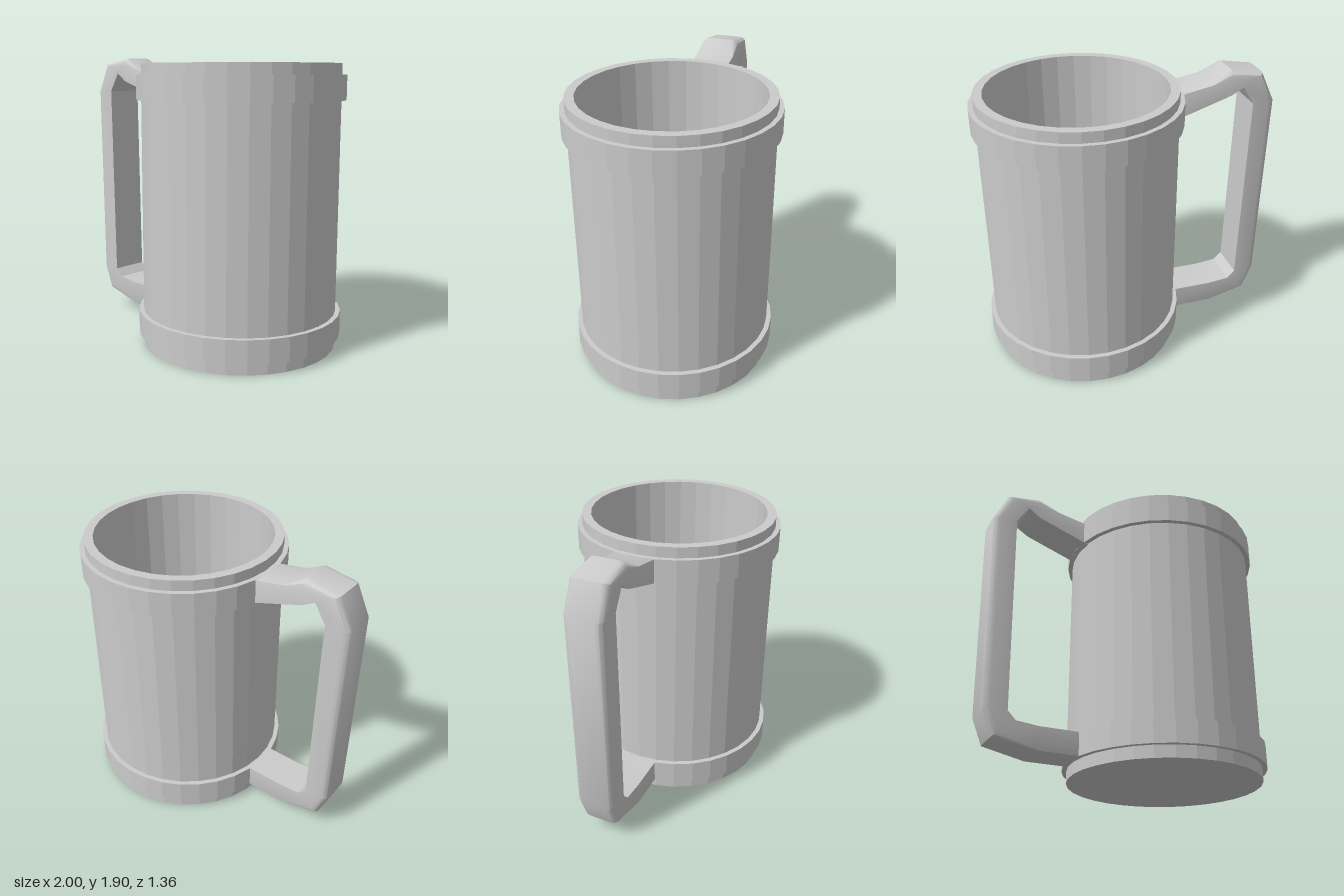
import * as THREE from 'three';
import { toCreasedNormals } from 'three/addons/utils/BufferGeometryUtils.js';

const SIDES = 32, CENTRE_X = 0.32;
const flat = new THREE.MeshStandardMaterial({ color: 0xcccccc, flatShading: true });
const smooth = new THREE.MeshStandardMaterial({ color: 0xcccccc });

// Turned part from [radius, height] pairs
function turned(name, profile) {
  const points = profile.map(([r, y]) => new THREE.Vector2(r, y));
  const mesh = new THREE.Mesh(new THREE.LatheGeometry(points, SIDES), flat);
  mesh.name = name;
  mesh.position.x = CENTRE_X;
  return mesh;
}

// Hoop around the body
const band = (name, y0, y1) =>
  turned(name, [[0.63, y0], [0.68, y0], [0.68, y1], [0.63, y1]]);

// Handle cross-section: square inner edge, outer corners rounded by b
function section([ox, oy, ix, iy, b]) {
  const w = 0.13, steps = 3;
  const outer = new THREE.Vector3(ox, oy, 0);
  const inward = new THREE.Vector3(ix - ox, iy - oy, 0).normalize();
  const corner = [];
  for (let k = 0; k <= steps; k++) {
    const a = (k / steps) * Math.PI / 2;
    const p = outer.clone().addScaledVector(inward, b * (1 - Math.sin(a)));
    p.z = w - b + b * Math.cos(a);
    corner.push(p);
  }
  const mirrored = corner.map(p => new THREE.Vector3(p.x, p.y, -p.z)).reverse();
  return [new THREE.Vector3(ix, iy, -w), new THREE.Vector3(ix, iy, w), ...corner, ...mirrored];
}

function loft(sections) {
  const n = sections[0].length, index = [];
  for (let i = 0; i < sections.length - 1; i++) {
    for (let k = 0; k < n; k++) {
      const a = i * n + k, b = i * n + (k + 1) % n;
      index.push(a, b, a + n, b, b + n, a + n);
    }
  }
  const geometry = new THREE.BufferGeometry().setFromPoints(sections.flat());
  geometry.setIndex(index);
  return toCreasedNormals(geometry, 0.55);
}

export function createModel() {
  const mug = new THREE.Group();
  mug.name = 'mug';

  // Hollow body with a thick wall and floor
  mug.add(turned('body', [
    [0, 0], [0.648, 0], [0.648, 1.86], [0.588, 1.86], [0.588, 0.08], [0, 0.08],
  ]));
  mug.add(band('lowerBand', 0.08, 0.235));
  mug.add(band('upperBand', 1.63, 1.79));

  // Handle stations: outer x, y, inner x, y, corner rounding
  const stations = [
    [-0.30, 1.78, -0.30, 1.615, 0.002],
    [-0.545, 1.825, -0.545, 1.695, 0.002],
    [-0.68, 1.905, -0.68, 1.74, 0.05],
    [-0.905, 1.865, -0.76, 1.795, 0.05],
    [-1.0, 1.665, -0.84, 1.665, 0.05],
    [-0.975, 0.305, -0.815, 0.305, 0.05],
    [-0.905, 0.13, -0.76, 0.25, 0.05],
    [-0.61, 0.08, -0.61, 0.235, 0.002],
    [-0.30, 0.08, -0.30, 0.235, 0.002],
  ];
  const handle = new THREE.Mesh(loft(stations.map(section)), smooth);
  handle.name = 'handle';
  mug.add(handle);
  return mug;
}
